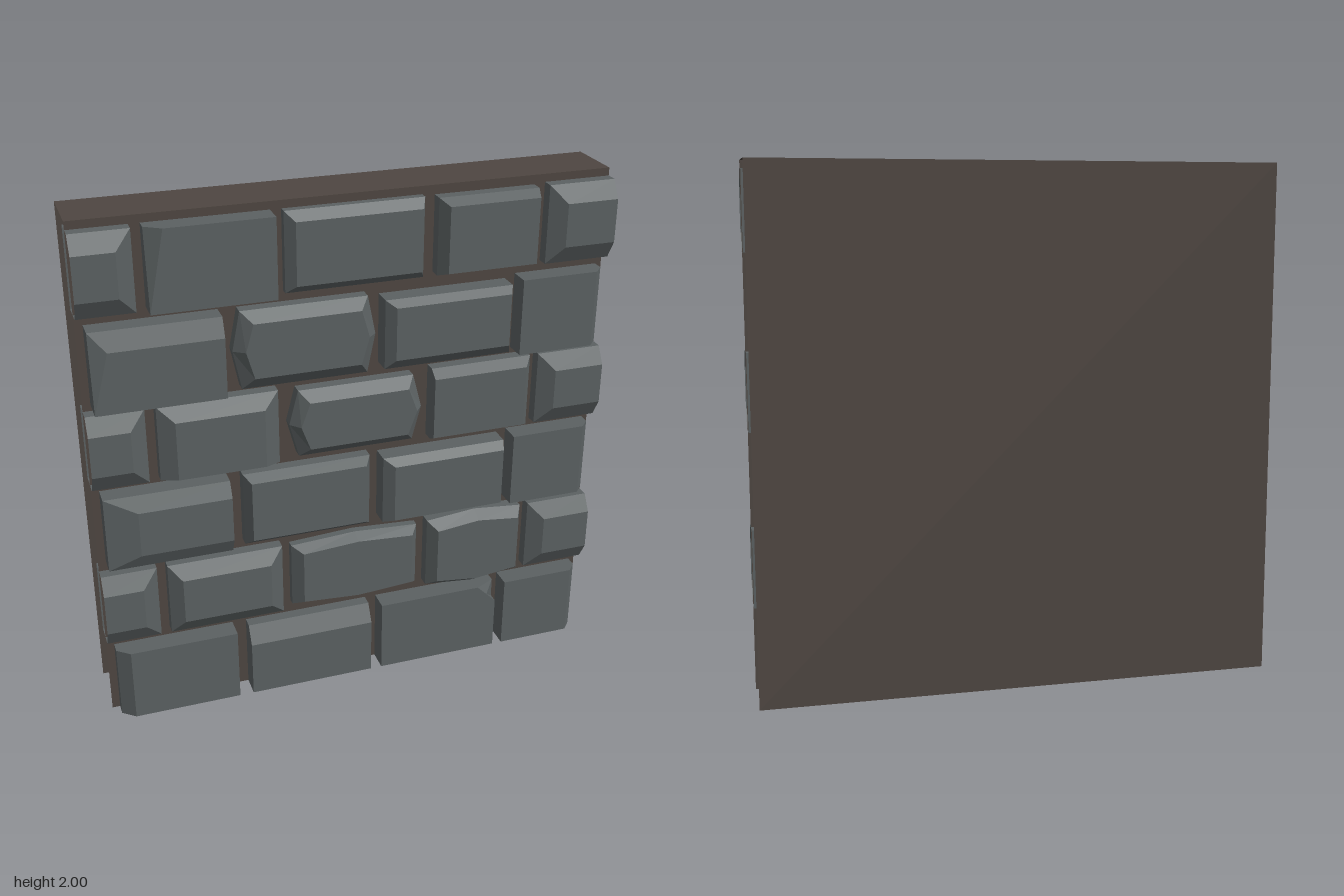
import * as THREE from 'three';

const stoneMat = new THREE.MeshStandardMaterial({ color: 0x5b6162, flatShading: true, side: THREE.DoubleSide });
const mortarMat = new THREE.MeshStandardMaterial({ color: 0x4e4641, flatShading: true, side: THREE.DoubleSide });

// Outline, counter-clockwise: a rectangle with optional pointed ends (side),
// bowed top and bottom (crown), a leaning left edge and a chipped top right corner
function outline(x0, x1, y0, y1, { side = 0, crown = 0, lean = 0, chip = 0, cut = 0 }) {
  const xm = (x0 + x1) / 2;
  const ym = (y0 + y1) / 2;
  const pts = [[x0 + side, y0]];
  if (crown) pts.push([xm, y0 - crown]);
  pts.push([x1 - side, y0]);
  if (side) pts.push([x1, ym]);
  if (chip) pts.push([x1, y1 - chip], [x1 - cut, y1 - cut], [x1 - chip, y1]);
  else pts.push([x1 - side, y1]);
  if (crown) pts.push([xm, y1 + crown]);
  pts.push([x0 + side + lean, y1]);
  if (side) pts.push([x0, ym]);
  return pts;
}

// Bevelled stone lofted from back, shoulder and front loops; l, r, b, t are the bevel
// widths. Edges lying on the wall's ends stay open.
function stone(x0, x1, y0, y1, spec) {
  const { l = 0, r = 0, b = 0, t = 0, z = 0.145, depth = 0.04, back = 0, toe = 0, side, crown, chip, lean, cut } = spec;
  const outer = outline(x0, x1, y0, y1, { side, crown, chip });
  const front = outline(x0 + l, x1 - r, y0 + b, y1 - t, { side, crown, chip, lean, cut });
  const n = outer.length;
  const loops = [
    outer.map(([x, y]) => [x, y, y < 0.01 ? back - toe : back]),
    outer.map(([x, y]) => [x, y, z - depth]),
    front.map(([x, y]) => [x, y, z]),
  ];
  const pos = [];
  const tri = (p, q, s) => pos.push(...p, ...q, ...s);
  for (let i = 0; i < n; i++) {
    const j = (i + 1) % n;
    if (Math.abs(outer[i][0] + outer[j][0]) === 2) continue;
    for (let k = 0; k < 2; k++) {
      const [low, high] = [loops[k], loops[k + 1]];
      tri(low[i], low[j], high[j]);
      tri(low[i], high[j], high[i]);
    }
  }
  for (let i = 1; i < n - 1; i++) {
    tri(loops[2][0], loops[2][i], loops[2][i + 1]);
    tri(loops[0][0], loops[0][i + 1], loops[0][i]);
  }
  const g = new THREE.BufferGeometry();
  g.setAttribute('position', new THREE.Float32BufferAttribute(pos, 3));
  g.computeVertexNormals();
  return new THREE.Mesh(g, stoneMat);
}

export function createModel() {
  const wall = new THREE.Group();
  wall.name = 'stoneWall';

  // Mortar shell: front, back and top sheets, open at the sides and below
  const sheet = (name, height, y, z, rx, ry) => {
    const m = new THREE.Mesh(new THREE.PlaneGeometry(2, height), mortarMat);
    m.position.set(0, y, z);
    m.rotation.set(rx, ry, 0);
    m.name = name;
    wall.add(m);
  };
  sheet('mortarFront', 2, 1, 0.06, 0, 0);
  sheet('mortarBack', 2, 1, -0.17, 0, Math.PI);
  sheet('mortarTop', 0.23, 2, -0.055, -Math.PI / 2, 0);

  // One course of stones; dx and dy trim a stone within its slot
  const addCourse = (name, y0, y1, slots, specs) => {
    const course = new THREE.Group();
    course.name = name;
    specs.forEach((spec, i) => {
      const { dx = 0, dy = 0 } = spec;
      const [x0, x1] = slots[i];
      const m = stone(x0 + dx, x1 - dx, y0 + dy, y1 - dy, spec);
      m.name = `stone${i + 1}`;
      course.add(m);
    });
    wall.add(course);
  };

  // Two alternating layouts: four whole stones, or three between cut half stones
  const wholeSlots = [[-0.97, -0.5], [-0.445, 0.055], [0.1, 0.6], [0.64, 0.975]];
  const cutSlots = [[-1, -0.79], [-0.75, -0.3], [-0.26, 0.26], [0.3, 0.705], [0.74, 1]];
  const leftHalf = { r: 0.06, b: 0.07, t: 0.065 };
  const rightHalf = { l: 0.06, b: 0.07, t: 0.065 };
  const squareEnd = { r: 0.035 };
  const proud = { z: 0.165, depth: 0.03 };

  addCourse('footCourse', 0, 0.3, wholeSlots, [
    { l: 0.05, toe: 0.06 },
    { t: 0.07, toe: 0.06 },
    { chip: 0.08, cut: 0.04, toe: 0.06 },
    { r: 0.035, toe: 0.06 },
  ]);
  addCourse('secondCourse', 0.34, 0.64, cutSlots, [
    leftHalf,
    { l: 0.05, r: 0.055, b: 0.06, t: 0.055 },
    { l: 0.04, r: 0.03, b: 0.025, t: 0.025, crown: 0.015, dy: 0.015, z: 0.13 },
    { l: 0.035, r: 0.025, b: 0.03, t: 0.035, crown: 0.02 },
    rightHalf,
  ]);
  addCourse('thirdCourse', 0.68, 0.98, wholeSlots, [
    { ...proud, l: 0.12, b: 0.06, t: 0.06 },
    { l: 0.025, r: 0.025, b: 0.03, t: 0.025 },
    { ...proud, l: 0.04, r: 0.01, b: 0.015, t: 0.03, dy: 0.01 },
    squareEnd,
  ]);
  addCourse('fourthCourse', 1.01, 1.305, cutSlots, [
    leftHalf,
    { l: 0.06, r: 0.06, b: 0.01, t: 0.055 },
    { l: 0.035, r: 0.03, b: 0.04, t: 0.04, side: 0.035, dy: 0.013 },
    { r: 0.03, b: 0.02, t: 0.03 },
    rightHalf,
  ]);
  addCourse('fifthCourse', 1.33, 1.63, wholeSlots, [
    { ...proud, t: 0.07, lean: 0.06 },
    { l: 0.04, r: 0.035, b: 0.05, t: 0.04, side: 0.03, dx: -0.018 },
    { ...proud, l: 0.035, r: 0.015, b: 0.04, t: 0.025, dy: 0.015, back: -0.06 },
    squareEnd,
  ]);
  addCourse('topCourse', 1.67, 1.97, cutSlots, [
    leftHalf,
    { lean: 0.06 },
    { l: 0.035, r: 0.015, b: 0.03, t: 0.035, z: 0.12, depth: 0.03 },
    { l: 0.03, r: 0.01, b: 0.015, t: 0.025, dx: 0.008, dy: 0.005 },
    rightHalf,
  ]);
  return wall;
}
